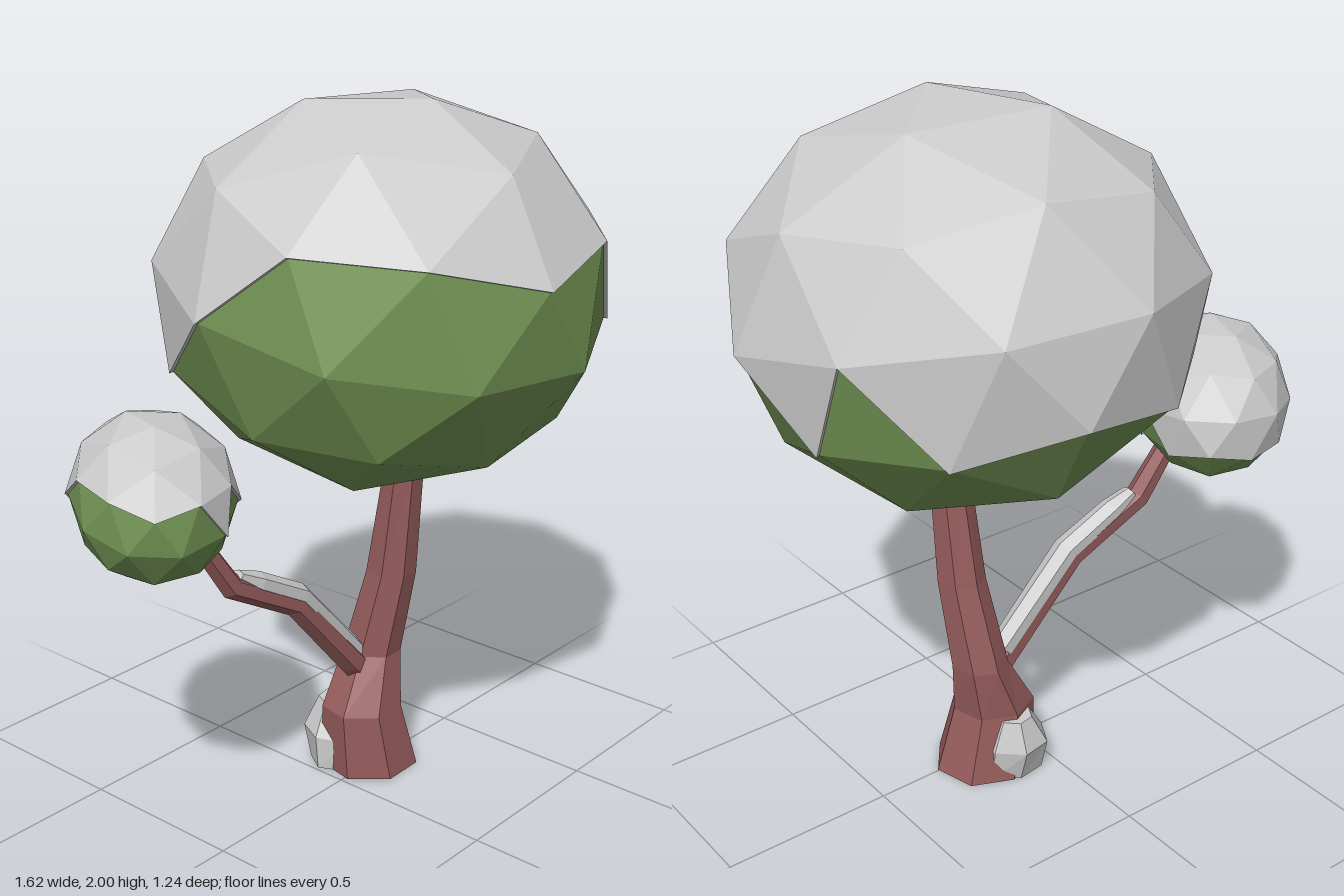
import * as THREE from 'three';

const material = (color) => new THREE.MeshStandardMaterial({ color, flatShading: true });
const bark = material(0x965c5c);
const leaf = material(0x759656);
const snow = material(0xcccccc);

function facetedGeometry(points) {
  const geometry = new THREE.BufferGeometry().setFromPoints(points);
  geometry.computeVertexNormals();
  return geometry;
}

// Closed tube through rings given as [x, y, z, radiusX, radiusZ, tilt about z]
function loft(sections, sides, turn = 0) {
  const axis = new THREE.Vector3(0, 0, 1);
  const centres = sections.map(([x, y, z]) => new THREE.Vector3(x, y, z));
  const rings = sections.map(([, , , rx, rz, tilt = 0], k) =>
    Array.from({ length: sides }, (_, i) => {
      const a = turn + (i / sides) * Math.PI * 2;
      return new THREE.Vector3(rx * Math.cos(a), 0, rz * Math.sin(a))
        .applyAxisAngle(axis, tilt).add(centres[k]);
    }));
  const points = [];
  const last = rings.length - 1;
  for (let i = 0; i < sides; i++) {
    const j = (i + 1) % sides;
    for (let k = 0; k < last; k++) {
      const lo = rings[k], hi = rings[k + 1];
      points.push(lo[i], hi[i], lo[j], lo[j], hi[i], hi[j]);
    }
    points.push(centres[0], rings[0][i], rings[0][j]);
    points.push(centres[last], rings[last][j], rings[last][i]);
  }
  return facetedGeometry(points);
}

// Unit icosphere with one corner near the top, leaning to the front
function crownGeometry() {
  const geometry = new THREE.IcosahedronGeometry(1, 1);
  geometry.rotateX(-Math.atan2((1 + Math.sqrt(5)) / 2, 1));
  geometry.rotateY(-0.157);
  geometry.rotateX(0.253);
  return geometry;
}

// Shell over the crown's upper faces, lower at the back, closed by a rim
function snowCapGeometry(crown, thickness) {
  const pos = crown.getAttribute('position');
  const key = (v) => v.toArray().map((n) => Math.round(n * 1000) + 0).join();
  const points = [];
  const edges = new Map();
  const outer = (v) => v.clone().multiplyScalar(1 + thickness);
  const inner = (v) => v.clone().multiplyScalar(0.98);
  for (let i = 0; i < pos.count; i += 3) {
    const tri = [0, 1, 2].map((k) => new THREE.Vector3().fromBufferAttribute(pos, i + k));
    const c = tri[0].clone().add(tri[1]).add(tri[2]).divideScalar(3);
    const bareSide = c.x < -0.75 && c.z > 0.1;
    if (bareSide || c.y - 0.25 * c.z < -0.068) continue;
    points.push(...tri.map(outer));
    tri.forEach((a, k) => {
      const b = tri[(k + 1) % 3];
      const back = key(b) + '|' + key(a);
      if (edges.has(back)) edges.delete(back);
      else edges.set(key(a) + '|' + key(b), [a, b]);
    });
  }
  for (const [a, b] of edges.values()) {
    points.push(outer(b), outer(a), inner(a), outer(b), inner(a), inner(b));
  }
  return facetedGeometry(points);
}

function addMesh(parent, name, geometry, mat) {
  const mesh = new THREE.Mesh(geometry, mat);
  mesh.name = name;
  parent.add(mesh);
  return mesh;
}

function foliage(name, thickness, position, scale, turn = 0) {
  const group = new THREE.Group();
  group.name = name;
  const crown = crownGeometry();
  addMesh(group, name + 'Leaves', crown, leaf);
  addMesh(group, name + 'Snow', snowCapGeometry(crown, thickness), snow);
  group.position.set(...position);
  group.scale.set(...scale);
  group.rotation.y = turn;
  return group;
}

export function createModel() {
  const tree = new THREE.Group();
  tree.name = 'snowyTree';

  // Trunk with a flared foot
  addMesh(tree, 'trunk', loft([
    [0.16, 0, -0.025, 0.148, 0.145],
    [0.13, 0.2, -0.03, 0.122, 0.118],
    [0.185, 0.36, -0.04, 0.08, 0.092],
    [0.205, 0.62, 0.015, 0.068, 0.078],
    [0.21, 0.95, 0.055, 0.058, 0.058],
    [0.21, 1.15, 0.06, 0.05, 0.05],
  ], 7, 0.2), bark);

  // Side branch, bending up into the small crown
  addMesh(tree, 'branch', loft([
    [0.16, 0.28, -0.04, 0.045, 0.045, 0.75],
    [0.09, 0.35, -0.04, 0.042, 0.042, 0.75],
    [-0.13, 0.605, -0.06, 0.038, 0.04, 0.85],
    [-0.36, 0.73, -0.085, 0.036, 0.036, 0.9],
    [-0.45, 0.87, -0.1, 0.03, 0.032, 0.55],
    [-0.52, 0.98, -0.12, 0.026, 0.026, 0.55],
  ], 6), bark);

  // Snow lying along the top of the branch
  addMesh(tree, 'branchSnow', loft([
    [0.11, 0.375, -0.045, 0.034, 0.038, 0.75],
    [-0.115, 0.63, -0.06, 0.031, 0.042, 0.9],
    [-0.27, 0.715, -0.075, 0.03, 0.038, 1.1],
    [-0.335, 0.755, -0.083, 0.014, 0.024, 1.0],
  ], 6), snow);

  // Snow heap against the back of the foot
  addMesh(tree, 'footSnow', loft([
    [0.11, 0, -0.095, 0.1, 0.085],
    [0.11, 0.1, -0.1, 0.103, 0.11],
    [0.12, 0.19, -0.115, 0.055, 0.06],
  ], 7, 0.5), snow);

  tree.add(foliage('mainCrown', 0.018, [0.18, 1.46, 0], [0.632, 0.546, 0.628]));
  tree.add(foliage('smallCrown', 0.04, [-0.56, 1.03, -0.16], [0.218, 0.218, 0.305], -0.64));
  return tree;
}
